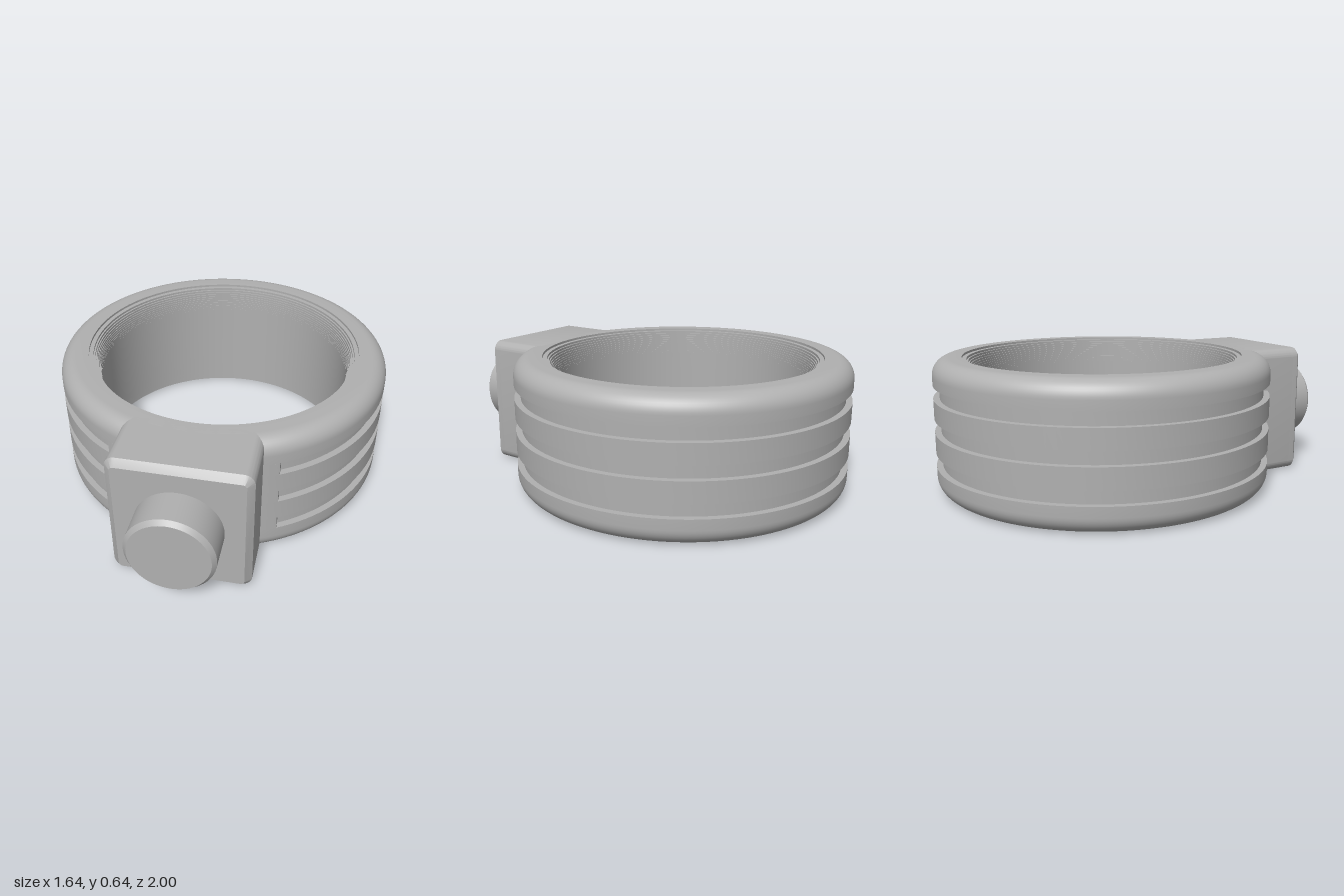
import * as THREE from 'three';
import { toCreasedNormals } from 'three/addons/utils/BufferGeometryUtils.js';

const H = 0.645;          // band height
const R = 0.82;           // outer radius
const BORE = 0.625;       // inner radius
const RING_Z = -0.18;     // ring centre
const GROOVES = [[0.13, 0.195], [0.295, 0.36], [0.455, 0.52]];

export function createModel() {
  const group = new THREE.Group();
  const grey = new THREE.MeshStandardMaterial({ color: 0xb0b0b0 });
  grey.name = 'grey';

  const add = (name, geometry, x = 0, y = 0, z = 0) => {
    const mesh = new THREE.Mesh(toCreasedNormals(geometry, 0.5), grey);
    mesh.name = name;
    mesh.position.set(x, y, z);
    group.add(mesh);
    return mesh;
  };

  // Band: rounded outside with three grooves, finely stepped flare at the bore
  const p = [];
  const pt = (r, y) => p.push(new THREE.Vector2(r, y));
  const fillet = 0.08, n = 10;
  for (let i = 0; i <= n; i++) {
    const a = (i / n) * Math.PI / 2;
    pt(R - fillet + fillet * Math.sin(a), fillet - fillet * Math.cos(a));
  }
  for (const [a, b] of GROOVES) {
    pt(R, a); pt(R - 0.03, a); pt(R - 0.03, b); pt(R, b);
  }
  for (let i = 0; i <= n; i++) {
    const a = (i / n) * Math.PI / 2;
    pt(R - fillet + fillet * Math.cos(a), H - fillet + fillet * Math.sin(a));
  }
  const steps = 12, flareW = 0.055, flareH = 0.13;
  const flare = [];
  for (let i = 0; i < steps; i++) {
    const t = 1 - i / steps;
    const r = BORE + flareW * (1 - Math.sqrt(1 - t * t));
    flare.push([r, flareH * i / steps], [r, flareH * (i + 1) / steps]);
  }
  flare.push([BORE, flareH]);
  flare.forEach(([r, d]) => pt(r, H - d));
  flare.reverse().forEach(([r, d]) => pt(r, d));
  p.push(p[0].clone());
  add('band', new THREE.LatheGeometry(p, 128), 0, 0, RING_Z);

  // Blocks that close the grooves at the front
  const half = Math.asin(0.39 / R);
  for (const [a, b] of GROOVES) {
    const s = new THREE.Shape();
    s.absarc(0, 0, R, -Math.PI / 2 - half, -Math.PI / 2 + half, false);
    s.lineTo(0.39, -0.66);
    s.lineTo(-0.39, -0.66);
    s.closePath();
    const g = new THREE.ExtrudeGeometry(s, { depth: b - a, bevelEnabled: false, curveSegments: 20 });
    g.rotateX(-Math.PI / 2);
    add('grooveEnd', g, 0, a, RING_Z);
  }

  // Rounded rectangle centred on the origin
  const roundedRect = (w, h, r) => {
    const s = new THREE.Shape();
    const x = w / 2 - r, y = h / 2 - r, q = Math.PI / 2;
    s.absarc(x, y, r, 0, q, false);
    s.absarc(-x, y, r, q, 2 * q, false);
    s.absarc(-x, -y, r, 2 * q, 3 * q, false);
    s.absarc(x, -y, r, 3 * q, 4 * q, false);
    s.closePath();
    return s;
  };

  // Housing: plain body with a chamfered front plate
  add('housingBody', new THREE.ExtrudeGeometry(roundedRect(0.64, H, 0.05),
    { depth: 0.26, bevelEnabled: false, curveSegments: 8 }), 0, H / 2, 0.5);
  add('housingFront', new THREE.ExtrudeGeometry(roundedRect(0.58, H - 0.06, 0.02), {
    depth: 0.04, bevelEnabled: true, bevelThickness: 0.03, bevelSize: 0.03,
    bevelSegments: 1, curveSegments: 8,
  }), 0, H / 2, 0.75);

  // Round button with a chamfered rim
  const profile = [[0, 0], [0.2, 0], [0.2, 0.2], [0.182, 0.22], [0, 0.22]]
    .map(([r, y]) => new THREE.Vector2(r, y));
  const button = new THREE.LatheGeometry(profile, 64);
  button.rotateX(Math.PI / 2);
  add('button', button, 0, 0.325, 0.78);

  return group;
}
